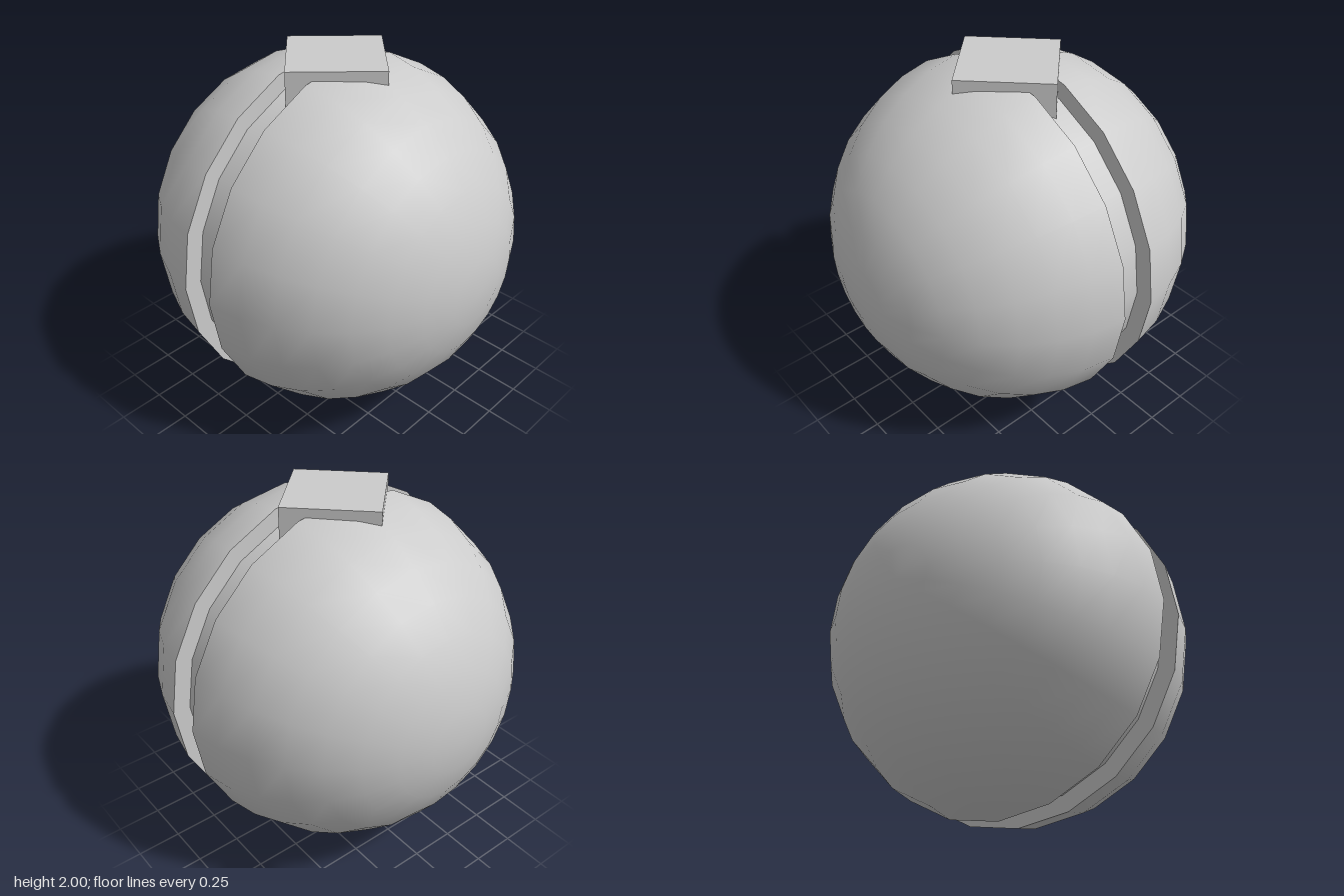
import * as THREE from 'three';

const SIDES = 20;
const RADIUS = 1;
const CORE_RADIUS = 0.9;
const HALF_GAP = 0.094;

export function createModel() {
  const model = new THREE.Group();
  const material = new THREE.MeshStandardMaterial({ color: 0xcccccc });

  const add = (parent, name, geometry) => {
    const mesh = new THREE.Mesh(geometry, material);
    mesh.name = name;
    parent.add(mesh);
    return mesh;
  };

  // Two domes with their poles on +z and -z, each with a flat rim facing the groove
  const sweep = Math.acos(HALF_GAP / RADIUS);
  const dome = new THREE.SphereGeometry(RADIUS, SIDES, 8, 0, Math.PI * 2, 0, sweep).rotateX(Math.PI / 2);
  const rim = new THREE.RingGeometry(CORE_RADIUS, RADIUS * Math.sin(sweep), SIDES, 1)
    .rotateY(Math.PI)
    .translate(0, 0, HALF_GAP);
  for (const side of ['front', 'back']) {
    const half = new THREE.Group();
    half.name = `${side}Half`;
    half.position.y = RADIUS;
    if (side === 'back') half.rotation.y = Math.PI;
    add(half, `${side}Dome`, dome);
    add(half, `${side}Rim`, rim);
    model.add(half);
  }

  // Recessed band forming the floor of the groove
  const band = new THREE.CylinderGeometry(CORE_RADIUS, CORE_RADIUS, HALF_GAP * 2, SIDES, 1, true).rotateX(Math.PI / 2);
  add(model, 'grooveBand', band).position.y = RADIUS;

  // Square cap set diagonally into the top
  const cap = add(model, 'topCap', new THREE.BoxGeometry(0.505, 0.25, 0.505));
  cap.position.y = 1.877;
  cap.rotation.y = Math.PI / 4;

  return model;
}
